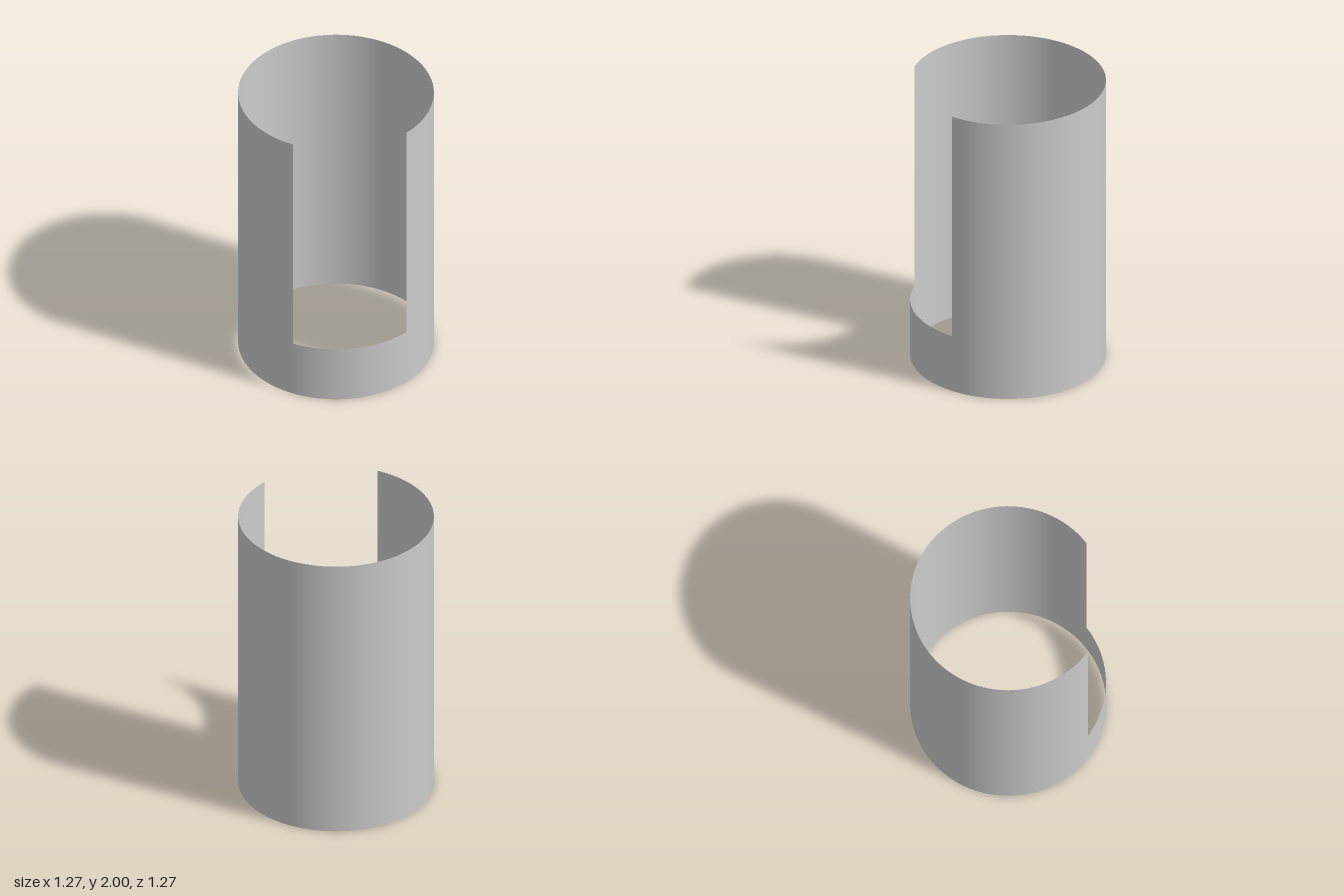
import * as THREE from 'three';

const RADIUS = 0.635;
const HEIGHT = 2;
const RING_HEIGHT = 0.4; // closed band below the opening
const HALF_OPENING = THREE.MathUtils.degToRad(36); // opening faces +z
const STEP = THREE.MathUtils.degToRad(3);

export function createModel() {
  const group = new THREE.Group();
  group.name = 'cutawaySleeve';
  const material = new THREE.MeshStandardMaterial({ color: 0xcccccc, side: THREE.DoubleSide });

  // Paper-thin open cylinder wall from y0 to y1, spanning an arc measured from +z
  function addWall(name, y0, y1, start, arc) {
    const geometry = new THREE.CylinderGeometry(
      RADIUS, RADIUS, y1 - y0, Math.round(arc / STEP), 1, true, start, arc);
    geometry.translate(0, (y0 + y1) / 2, 0);
    const mesh = new THREE.Mesh(geometry, material);
    mesh.name = name;
    group.add(mesh);
  }

  // Full ring at the foot
  addWall('baseRing', 0, RING_HEIGHT, 0, Math.PI * 2);
  // Tall wall with the front window left open to the top
  addWall('upperWall', RING_HEIGHT, HEIGHT, HALF_OPENING, Math.PI * 2 - 2 * HALF_OPENING);

  return group;
}
